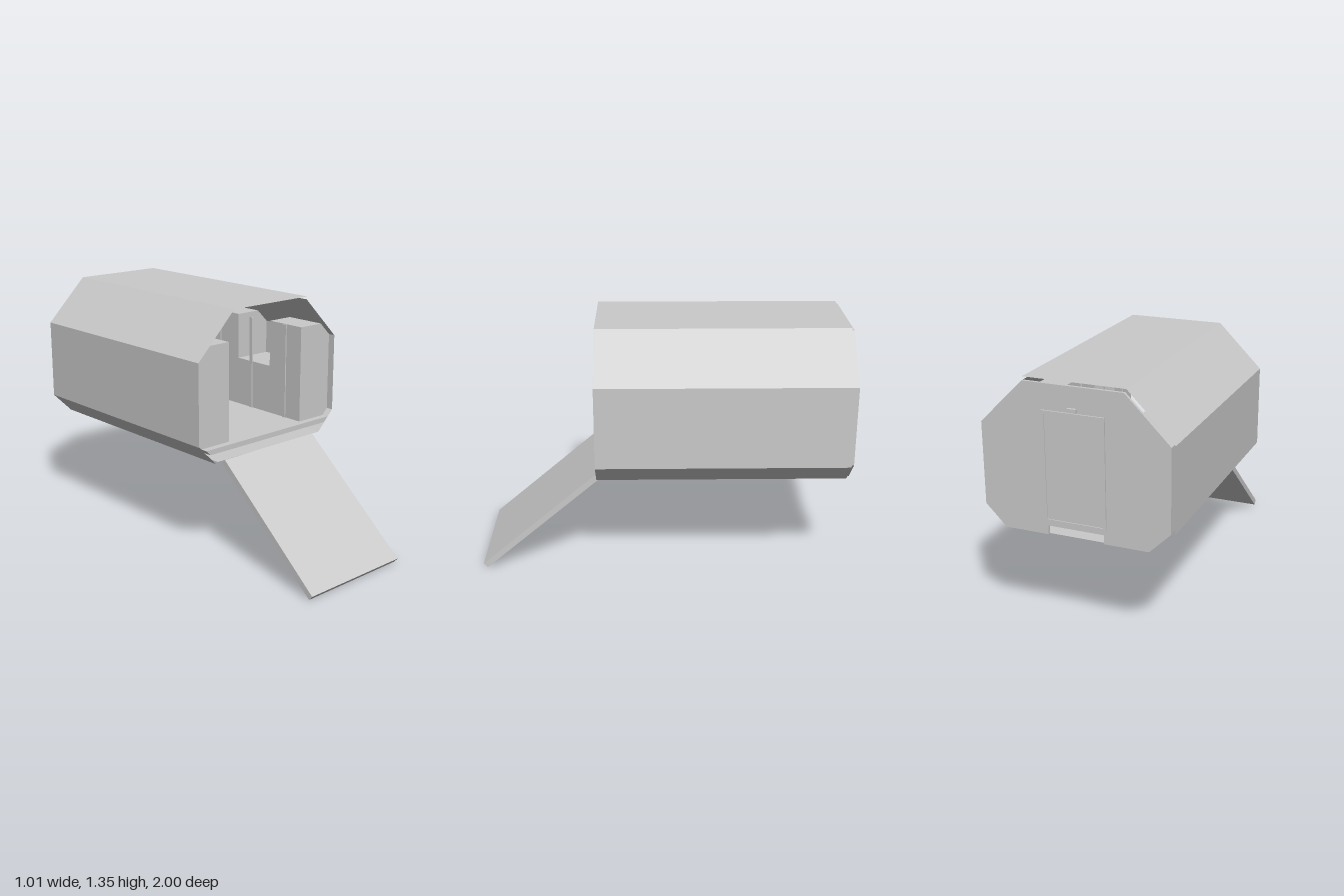
import * as THREE from 'three';

const grey = new THREE.MeshStandardMaterial({ color: 0xcacaca });
grey.name = 'plain grey';

const FRONT = 0.36, BACK = -0.97;

// Right half of an octagonal section (bottom to top), completed by mirroring
const octagon = (half) => [...half, ...half.slice().reverse().map(([x, y]) => [-x, y])];
const outer = octagon([[0.39, 0.56], [0.505, 0.675], [0.505, 1.115], [0.265, 1.355]]);
const inner = octagon([[0.38, 0.57], [0.49, 0.68], [0.49, 1.11], [0.26, 1.34]]);

const toShape = (pts) => new THREE.Shape(pts.map(([x, y]) => new THREE.Vector2(x, y)));

export function createModel() {
  const model = new THREE.Group();
  model.name = 'shelter';

  const add = (name, geometry, x = 0, y = 0, z = 0) => {
    const mesh = new THREE.Mesh(geometry, grey);
    mesh.name = name;
    mesh.position.set(x, y, z);
    model.add(mesh);
    return mesh;
  };

  // Box given by its limits on each axis
  const box = (name, x0, x1, y0, y1, z0, z1) =>
    add(name, new THREE.BoxGeometry(x1 - x0, y1 - y0, z1 - z0), (x0 + x1) / 2, (y0 + y1) / 2, (z0 + z1) / 2);

  const prism = (name, shape, z0, z1) =>
    add(name, new THREE.ExtrudeGeometry(shape, { depth: z1 - z0, bevelEnabled: false }), 0, 0, z0);

  // Open tube of flat panels along z; a reversed section faces inward
  const panels = (name, pts) => {
    const pos = [];
    pts.forEach((a, i) => {
      const b = pts[(i + 1) % pts.length];
      pos.push(...a, BACK, ...b, BACK, ...b, FRONT, ...a, BACK, ...b, FRONT, ...a, FRONT);
    });
    const g = new THREE.BufferGeometry();
    g.setAttribute('position', new THREE.Float32BufferAttribute(pos, 3));
    g.computeVertexNormals();
    add(name, g);
  };

  // Hull
  panels('outerSkin', outer);
  panels('innerLining', inner.slice().reverse());

  // Floor raised above the hull bottom
  prism('floor', toShape([[-0.427, 0.617], [0.427, 0.617], [0.455, 0.645], [-0.455, 0.645]]), BACK, FRONT - 0.002);

  // Rear wall with a slot under the door
  const wall = [[0.148, 0.57], ...inner, [-0.148, 0.57], [-0.148, 0.617], [0.148, 0.617]];
  prism('rearWall', toShape(wall), BACK - 0.015, BACK);

  // Rear door: frame and panel standing slightly proud on both sides
  const frame = toShape([[-0.163, 0.645], [0.163, 0.645], [0.163, 1.21], [-0.163, 1.21]]);
  frame.holes.push(new THREE.Path(
    [[-0.148, 0.655], [-0.148, 1.195], [0.148, 1.195], [0.148, 0.655]].map(([x, y]) => new THREE.Vector2(x, y))));
  prism('doorFrame', frame, -0.993, -0.962);
  box('doorPanel', -0.148, 0.148, 0.655, 1.195, -0.988, -0.966);
  box('doorLamp', -0.023, 0.023, 1.215, 1.235, -1, -0.955);

  // Lockers along both sides, with a low counter between taller units
  const lockerRows = [[0.08, 0.32, 1.18], [-0.18, 0.08, 0.92], [BACK, -0.18, 1.18]];
  for (const side of [-1, 1]) {
    for (const [z0, z1, top] of lockerRows) {
      const section = [[0.265, 0.645], [0.455, 0.645], [0.49, 0.68]];
      if (top > 1.11) section.push([0.49, 1.11], [0.42, top]);
      else section.push([0.49, top]);
      section.push([0.265, top]);
      prism(top > 1.11 ? 'locker' : 'counter', toShape(section.map(([x, y]) => [x * side, y])), z0, z1);
    }
    // Thin upright strips on the locker fronts
    for (let i = 0; i < 5; i++) {
      const strip = box('lockerStrip', 0.258, 0.268, 0.645, 1.178, 0.19 - i * 0.27, 0.21 - i * 0.27);
      strip.position.x *= side;
    }
  }
  box('wallUnit', 0.18, 0.265, 0.97, 1.125, -0.7, -0.5);

  // Ceiling fixture
  box('fixtureMount', -0.015, 0.015, 1.31, 1.34, -0.32, -0.28);
  box('fixtureBody', -0.035, 0.035, 1.265, 1.31, -0.36, -0.24);
  for (const side of [-1, 1]) box('fixtureSide', side * 0.038 - 0.004, side * 0.038 + 0.004, 1.25, 1.31, -0.36, -0.24);

  // Boarding ramp
  const ramp = add('ramp', new THREE.BoxGeometry(0.66, 0.032, 0.84), 0, 0.285, 0.67);
  ramp.rotation.x = 0.705;

  return model;
}
